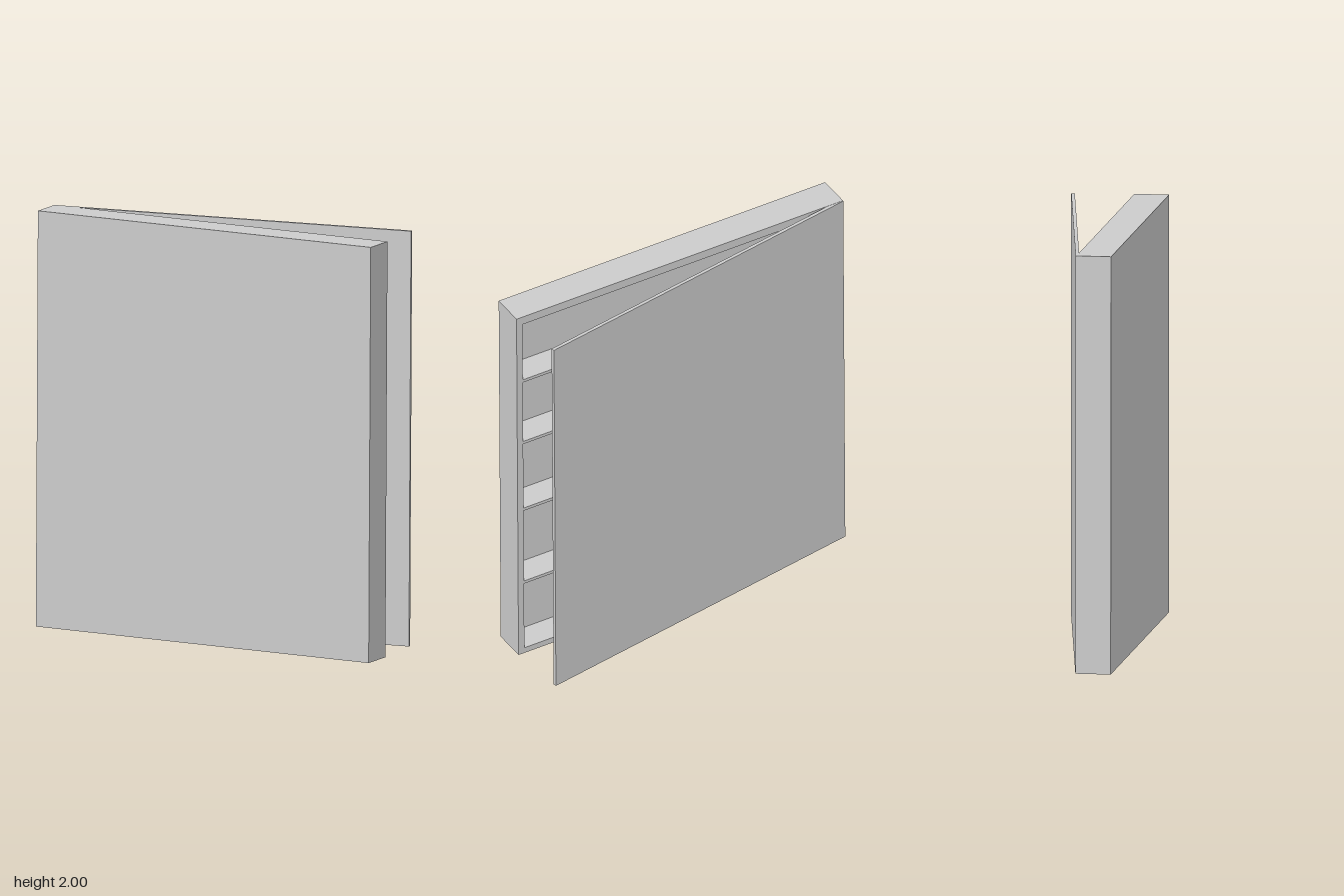
import * as THREE from 'three';

const W = 1.78, H = 1.99;            // cabinet width and height
const BACK = 0.067, FRONT = 0.232;   // open side and closed side in z
const WALL = 0.032, TOP = 0.044, FLOOR = 0.03, PANEL = 0.028;

export function createModel() {
  const group = new THREE.Group();
  group.name = 'cabinet';
  const material = new THREE.MeshStandardMaterial({ color: 0xcccccc, flatShading: true });

  // everything leans very slightly sideways
  const body = new THREE.Group();
  body.name = 'cabinetBody';
  body.position.y = 1;
  body.rotation.z = -0.0055;
  group.add(body);

  const add = (name, geometry, x, y, z, parent = body) => {
    const mesh = new THREE.Mesh(geometry, material);
    mesh.name = name;
    mesh.position.set(x, y, z);
    parent.add(mesh);
    return mesh;
  };

  // rectangular frame: sides, top and floor
  const x0 = -W / 2 + WALL, x1 = W / 2 - WALL;
  const y0 = -H / 2 + FLOOR, y1 = H / 2 - TOP;
  const outline = new THREE.Shape([
    new THREE.Vector2(-W / 2, -H / 2), new THREE.Vector2(W / 2, -H / 2),
    new THREE.Vector2(W / 2, H / 2), new THREE.Vector2(-W / 2, H / 2),
  ]);
  outline.holes.push(new THREE.Path([
    new THREE.Vector2(x0, y0), new THREE.Vector2(x0, y1),
    new THREE.Vector2(x1, y1), new THREE.Vector2(x1, y0),
  ]));
  const frameDepth = FRONT - BACK - PANEL;
  add('frame', new THREE.ExtrudeGeometry(outline, { depth: frameDepth, bevelEnabled: false }), 0, 0, BACK);

  // closed panel
  add('panel', new THREE.BoxGeometry(W, H, PANEL), 0, 0, FRONT - PANEL / 2);

  // shelves, given by the height of their undersides
  const thick = 0.016;
  for (const y of [0.415, 0.847, 1.242, 1.607]) {
    add('shelf', new THREE.BoxGeometry(x1 - x0, thick, frameDepth),
      0, y + thick / 2 - 1, BACK + frameDepth / 2);
  }

  // thin door, ajar on its hinge edge
  const hinge = new THREE.Group();
  hinge.name = 'doorHinge';
  hinge.position.set(-W / 2, 0, BACK - 0.003);
  hinge.rotation.y = THREE.MathUtils.degToRad(9.5);
  body.add(hinge);
  const doorWidth = 1.775, doorThick = 0.017;
  add('door', new THREE.BoxGeometry(doorWidth, H - 0.002, doorThick),
    doorWidth / 2, 0, doorThick / 2, hinge);

  return group;
}
